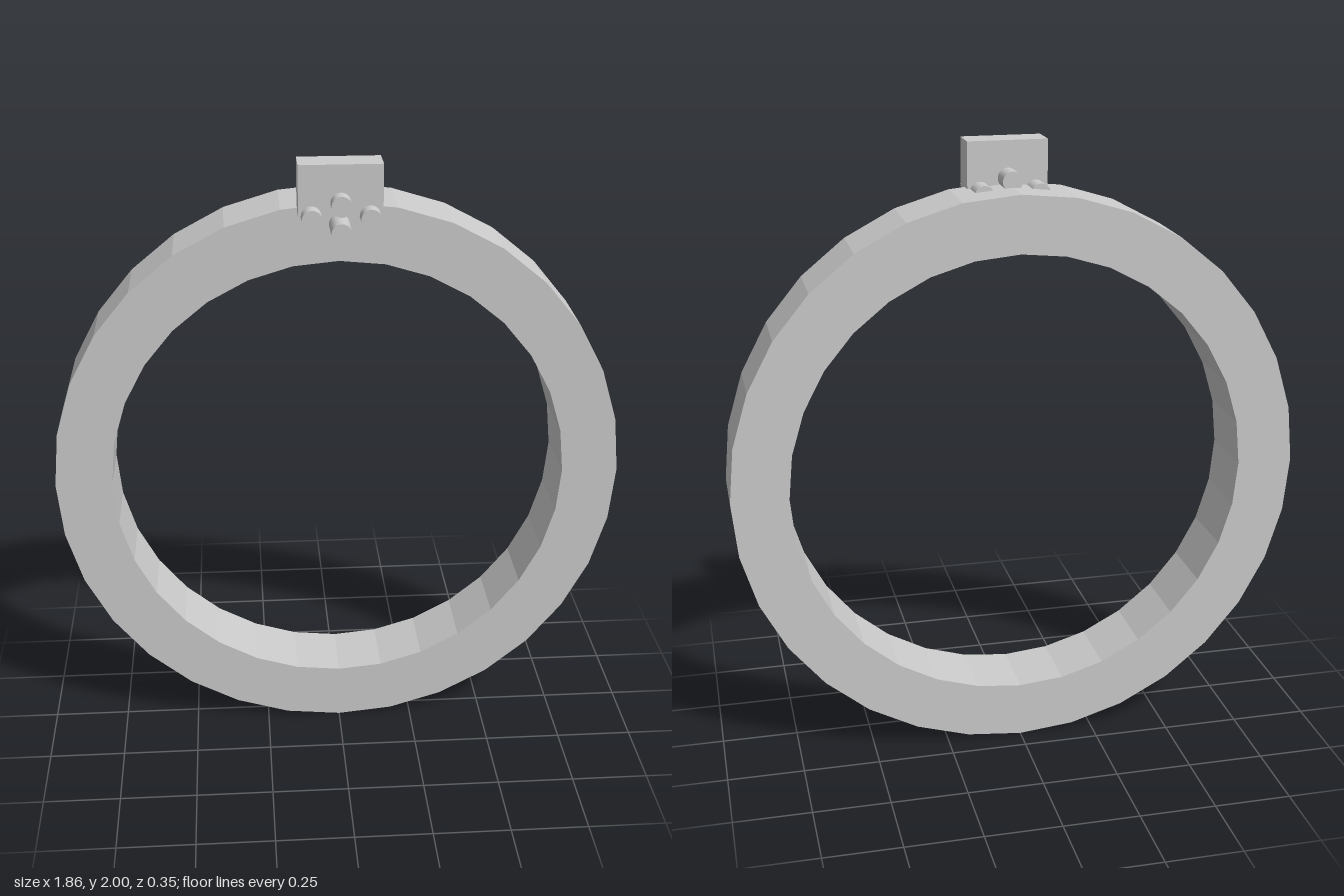
import * as THREE from 'three';

export function createModel() {
  const model = new THREE.Group();
  const flat = new THREE.MeshStandardMaterial({ color: 0xcccccc, flatShading: true });
  const smooth = new THREE.MeshStandardMaterial({ color: 0xcccccc });

  const add = (name, geometry, material, x, y, z) => {
    const mesh = new THREE.Mesh(geometry, material);
    mesh.name = name;
    mesh.position.set(x, y, z);
    model.add(mesh);
    return mesh;
  };

  // 32-sided circle outline with a corner at the top
  const circle = (r, n = 32) => Array.from({ length: n }, (_, i) => {
    const a = (i / n) * Math.PI * 2;
    return new THREE.Vector2(Math.cos(a) * r, Math.sin(a) * r);
  });

  // Faceted band with a round opening
  const outline = new THREE.Shape(circle(0.932));
  outline.holes.push(new THREE.Path(circle(0.747).reverse()));
  const band = new THREE.ExtrudeGeometry(outline, { depth: 0.233, bevelEnabled: false });
  add('band', band, flat, 0, 0.932, -0.173);

  // Block standing on the top of the band
  add('block', new THREE.BoxGeometry(0.26, 0.159, 0.105), flat, 0, 1.9205, 0.0725);

  // Four pins running front to back in a diamond
  const pin = new THREE.CylinderGeometry(0.032, 0.032, 0.23, 32).rotateX(Math.PI / 2);
  const pins = { leftPin: [0.09, 1.841], rightPin: [-0.09, 1.841], upperPin: [0, 1.882], lowerPin: [0, 1.798] };
  for (const [name, [x, y]] of Object.entries(pins)) add(name, pin, smooth, x, y, 0.06);

  return model;
}
